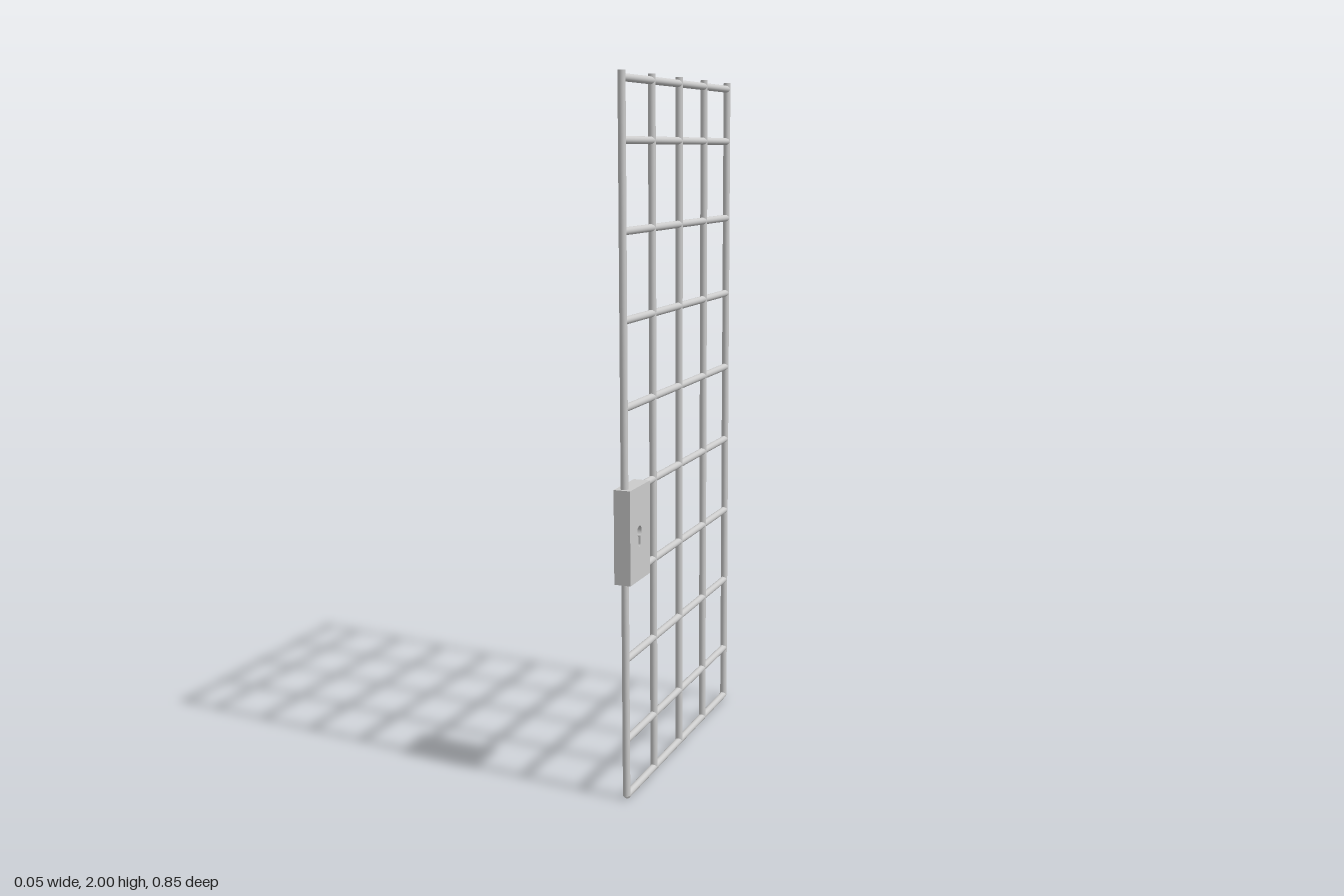
import * as THREE from 'three';

const R = 0.0105;            // bar radius
const Z_BACK = -0.417, Z_FRONT = 0.408;

export function createModel() {
  const gate = new THREE.Group();
  gate.name = 'barredGate';
  const mat = new THREE.MeshStandardMaterial({ color: 0xcccccc });

  const add = (name, geometry, x, y, z, parent = gate) => {
    const mesh = new THREE.Mesh(geometry, mat);
    mesh.name = name;
    mesh.position.set(x, y, z);
    parent.add(mesh);
    return mesh;
  };

  // Upright bars, evenly spaced, standing on the bottom rail
  const uprightGeo = new THREE.CylinderGeometry(R, R, 1.99, 20);
  for (let i = 0; i < 5; i++) {
    add('uprightBar', uprightGeo, 0, 1.005, THREE.MathUtils.lerp(Z_BACK, Z_FRONT, i / 4));
  }

  // Horizontal rails: bottom, eight evenly spaced, and one near the top
  const railGeo = new THREE.CylinderGeometry(R, R, Z_FRONT - Z_BACK, 20).rotateX(Math.PI / 2);
  const heights = [R, 1.982];
  for (let i = 0; i < 8; i++) heights.push(0.175 + i * 0.2355);
  for (const y of heights) add('crossRail', railGeo, 0, y, (Z_FRONT + Z_BACK) / 2);

  // Lock case: solid body with a face plate pierced by the keyhole
  const lock = new THREE.Group();
  lock.name = 'lock';
  lock.position.set(0, 0.763, 0.356);
  gate.add(lock);
  const w = 0.142, h = 0.266, halfDepth = 0.024, recess = 0.012;
  add('lockCase', new THREE.BoxGeometry(halfDepth * 2 - recess, h, w), -recess / 2, 0, 0, lock);

  const plate = new THREE.Shape([
    new THREE.Vector2(-w / 2, -h / 2), new THREE.Vector2(w / 2, -h / 2),
    new THREE.Vector2(w / 2, h / 2), new THREE.Vector2(-w / 2, h / 2),
  ]);
  // Keyhole: round top joined to a narrow slot with a rounded end
  const keyhole = new THREE.Path();
  const kx = -0.006;
  keyhole.absarc(kx, 0.006, 0.016, -Math.PI / 3, Math.PI * 4 / 3, false);
  keyhole.lineTo(kx - 0.007, -0.03);
  keyhole.absarc(kx, -0.03, 0.007, Math.PI, Math.PI * 2, false);
  keyhole.closePath();
  plate.holes.push(keyhole);
  const plateGeo = new THREE.ExtrudeGeometry(plate, { depth: recess, bevelEnabled: false, curveSegments: 16 });
  plateGeo.rotateY(Math.PI / 2);
  add('keyholePlate', plateGeo, halfDepth - recess, 0, 0, lock);

  return gate;
}
